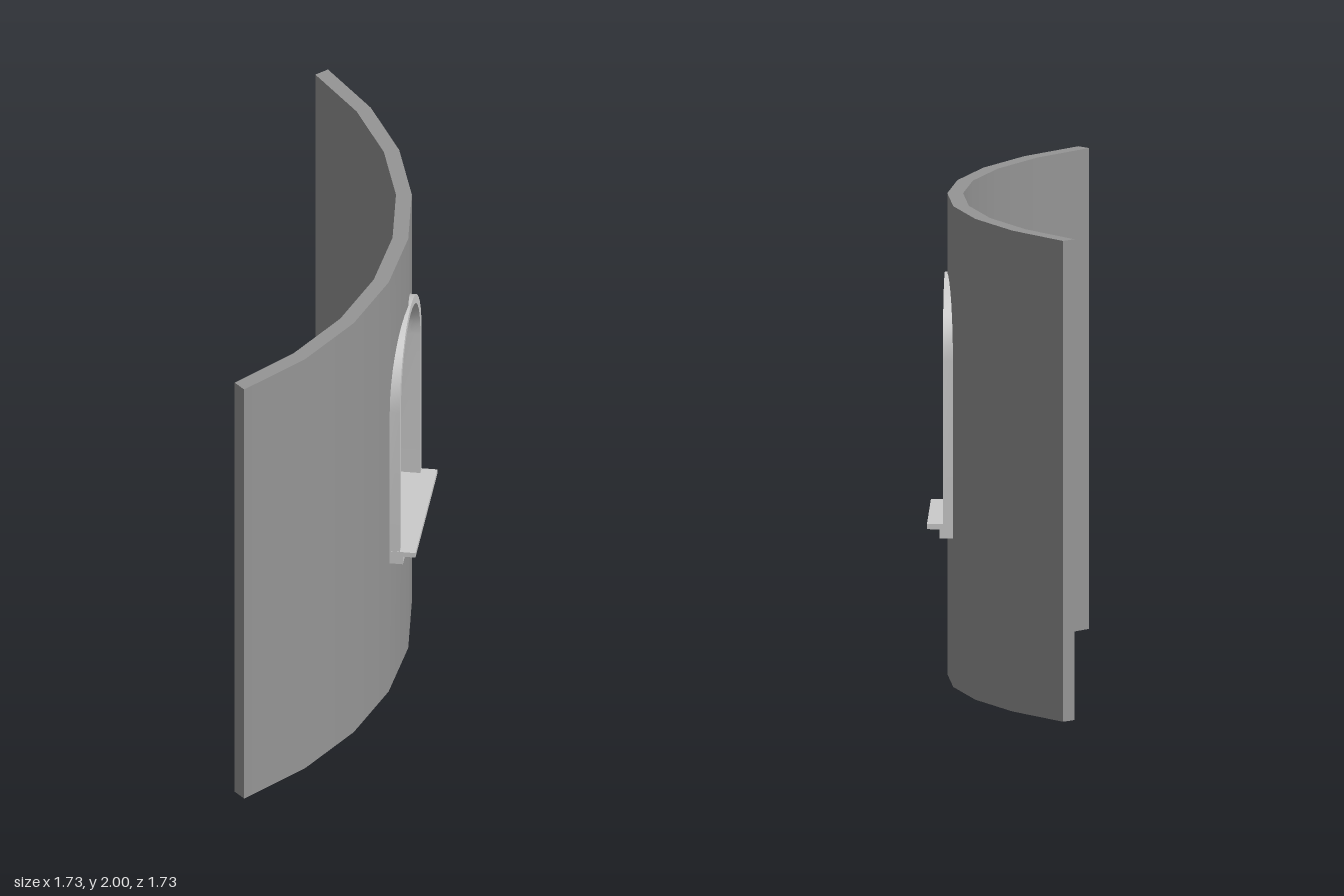
import * as THREE from 'three';
import { mergeGeometries, toCreasedNormals } from 'three/addons/utils/BufferGeometryUtils.js';

const R_OUT = 1.73, R_IN = 1.665, CENTRE = -1.2233, HEIGHT = 2;
const STEP = Math.PI / 16;              // one facet of the curved wall
const SLOPE = Math.tan(STEP / 2);       // fall of the facets beside the window
const HALF = 0.283, BASE = 0.675, SPRING = 1.352, TRIM = 0.036;
const GAP = 0.003;                      // the lining sits just inside the wall opening
const TRIM_FRONT = 0.517;
const wallMaterial = new THREE.MeshStandardMaterial({ color: 0x959595 });
const trimMaterial = new THREE.MeshStandardMaterial({ color: 0xcccccc, side: THREE.DoubleSide });

// points over the arch from angle a to angle b
function arch(radius, a, b, n) {
  return Array.from({ length: n + 1 }, (_, i) => {
    const t = a + (b - a) * i / n;
    return new THREE.Vector2(radius * Math.cos(t), SPRING + radius * Math.sin(t));
  });
}

// depth of the wall surface beside the window
const wallDepth = (radius, x) => CENTRE + radius - SLOPE * Math.abs(x);

// three plain facets beginning at angle a
function plainWall(a) {
  const pts = [];
  const add = (r, i) => pts.push(new THREE.Vector2(
    r * Math.sin(a + i * STEP), -(CENTRE + r * Math.cos(a + i * STEP))));
  for (let i = 0; i <= 3; i++) add(R_OUT, i);
  for (let i = 3; i >= 0; i--) add(R_IN, i);
  return new THREE.ExtrudeGeometry(new THREE.Shape(pts), { depth: HEIGHT, bevelEnabled: false })
    .rotateX(-Math.PI / 2);
}

// one facet holding half of the window opening
function windowWall(side) {
  const edge = R_OUT * Math.sin(STEP), half = HALF + GAP;
  const pts = [
    new THREE.Vector2(0, 0), new THREE.Vector2(edge, 0),
    new THREE.Vector2(edge, HEIGHT), new THREE.Vector2(0, HEIGHT),
    ...arch(half, Math.PI / 2, 0, 8),
    new THREE.Vector2(half, BASE - GAP), new THREE.Vector2(0, BASE - GAP),
  ].map(p => new THREE.Vector2(p.x * side, p.y));
  const geo = new THREE.ExtrudeGeometry(new THREE.Shape(pts), { depth: 1, bevelEnabled: false });
  const pos = geo.attributes.position;
  for (let i = 0; i < pos.count; i++) {
    const outer = pos.getZ(i) > 0.5;
    let x = pos.getX(i);
    if (!outer && Math.abs(x) > 0.3) x = side * R_IN * Math.sin(STEP);
    pos.setX(i, x);
    pos.setZ(i, wallDepth(outer ? R_OUT : R_IN, x));
  }
  return geo;
}

// smooth shading round the curve, sharp edges elsewhere
function smoothWall(geo) {
  const out = toCreasedNormals(geo, 0.5);
  const pos = out.attributes.position, nor = out.attributes.normal;
  const n = new THREE.Vector3(), radial = new THREE.Vector3();
  for (let i = 0; i < pos.count; i++) {
    n.fromBufferAttribute(nor, i);
    radial.set(pos.getX(i), 0, pos.getZ(i) - CENTRE).normalize();
    const d = n.dot(radial);
    if (Math.abs(d) > 0.95) nor.setXYZ(i, radial.x * Math.sign(d), 0, radial.z * Math.sign(d));
  }
  return out;
}

// thin sheet round the inside of the opening, from the inner wall face to the trim
function liningSheet() {
  const path = [
    new THREE.Vector2(HALF, BASE), ...arch(HALF, 0, Math.PI, 16),
    new THREE.Vector2(-HALF, BASE), new THREE.Vector2(HALF, BASE),
  ];
  const geo = new THREE.PlaneGeometry(1, 1, path.length - 1, 1);
  const pos = geo.attributes.position;
  for (let i = 0; i < pos.count; i++) {
    const p = path[i % path.length];
    pos.setXYZ(i, p.x, p.y, i < path.length ? TRIM_FRONT - GAP : wallDepth(R_IN, p.x));
  }
  return toCreasedNormals(geo, 0.5);
}

export function createModel() {
  const model = new THREE.Group();
  model.name = 'curvedWallWithWindow';
  const body = new THREE.Group();       // local +z points out through the window
  body.name = 'wallSection';
  body.rotation.y = Math.PI * 0.75;
  model.add(body);

  const add = (name, geo, material = trimMaterial) => {
    const mesh = new THREE.Mesh(geo, material);
    mesh.name = name;
    body.add(mesh);
  };
  const slab = (name, width, y0, y1, z0, z1) => add(name,
    new THREE.BoxGeometry(width, y1 - y0, z1 - z0).translate(0, (y0 + y1) / 2, (z0 + z1) / 2));

  // curved wall
  add('wall', smoothWall(mergeGeometries([
    plainWall(-4 * STEP), windowWall(-1), windowWall(1), plainWall(STEP),
  ])), wallMaterial);

  // raised arched trim on the outside
  const outerHalf = HALF + TRIM, trimBack = 0.466;
  const trim = new THREE.Shape([
    new THREE.Vector2(outerHalf, BASE), ...arch(outerHalf, 0, Math.PI, 16),
    new THREE.Vector2(-outerHalf, BASE), new THREE.Vector2(-HALF, BASE),
    ...arch(HALF, Math.PI, 0, 16), new THREE.Vector2(HALF, BASE),
  ]);
  add('windowTrim', toCreasedNormals(
    new THREE.ExtrudeGeometry(trim, { depth: TRIM_FRONT - trimBack, bevelEnabled: false })
      .translate(0, 0, trimBack), 0.5));
  add('windowLining', liningSheet());

  // sill and its lower moulding
  slab('sill', 0.64, 0.653, BASE, 0.455, 0.582);
  slab('sillMoulding', 0.638, 0.615, 0.653, 0.455, 0.53);

  return model;
}
